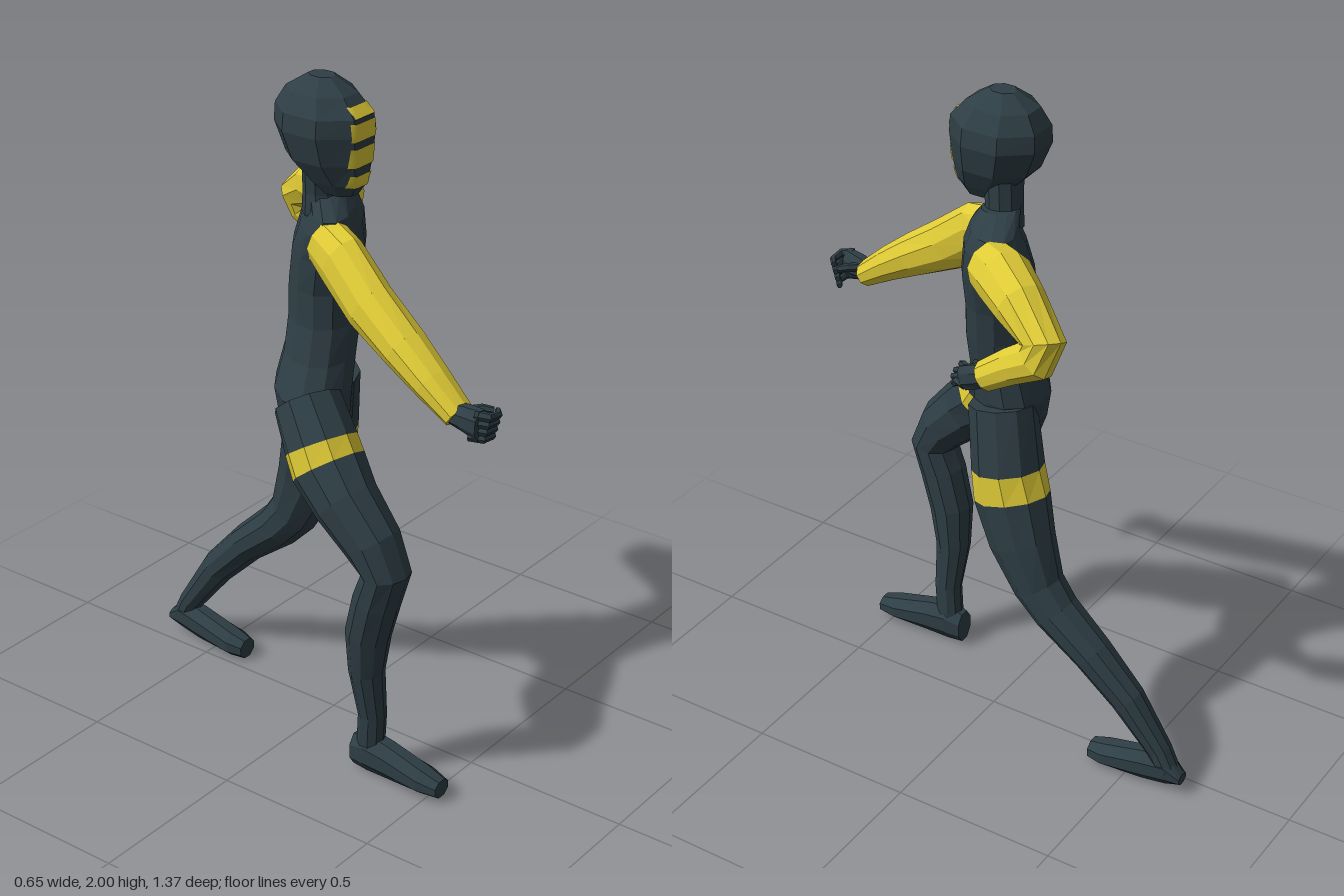
import * as THREE from 'three';

const V = (x, y, z) => new THREE.Vector3(x, y, z);
const X = V(1, 0, 0), Y = V(0, 1, 0), Z = V(0, 0, 1);

// Skin over sections [x, y, z, halfWidth, halfDepth]. Rings turn with the path
// unless a fixed axis is given; bands maps segment number -> material index.
function loft(name, sections, materials, { n = 10, side = X, axis = null, bands = {} } = {}) {
  const centres = sections.map(s => V(s[0], s[1], s[2]));
  const last = sections.length - 1;
  const dir = i => centres[i + 1].clone().sub(centres[i]).normalize();
  const rings = sections.map(([, , , rw, rd], i) => {
    const t = axis ? axis.clone() : V(0, 0, 0);
    if (!axis && i > 0) t.add(dir(i - 1));
    if (!axis && i < last) t.add(dir(i));
    t.normalize();
    const w = axis ? side.clone() : side.clone().addScaledVector(t, -side.dot(t)).normalize();
    const d = t.clone().cross(w).normalize();
    const k = 1 / Math.cos(Math.PI / n);
    return Array.from({ length: n }, (_, j) => {
      const a = (j + 0.5) / n * Math.PI * 2;
      return centres[i].clone().addScaledVector(w, Math.cos(a) * rw * k).addScaledVector(d, Math.sin(a) * rd * k);
    });
  });
  const points = [], geo = new THREE.BufferGeometry();
  for (let j = 0; j < n; j++) {
    const m = (j + 1) % n;
    points.push(centres[0], rings[0][m], rings[0][j], centres[last], rings[last][j], rings[last][m]);
  }
  geo.addGroup(0, points.length, 0);
  for (let i = 0; i < last; i++) {
    geo.addGroup(points.length, n * 6, bands[i] ?? 0);
    for (let j = 0; j < n; j++) {
      const m = (j + 1) % n, a = rings[i], b = rings[i + 1];
      points.push(a[j], a[m], b[m], a[j], b[m], b[j]);
    }
  }
  geo.setFromPoints(points);
  geo.computeVertexNormals();
  const mesh = new THREE.Mesh(geo, materials);
  mesh.name = name;
  return mesh;
}

export function createModel() {
  const suit = new THREE.MeshStandardMaterial({ color: 0x2e3e45 });
  suit.name = 'darkSuit';
  const yellow = new THREE.MeshStandardMaterial({ color: 0xdfcb36 });
  yellow.name = 'yellow';
  const mats = [suit, yellow], sleeve = [yellow];
  const model = new THREE.Group();
  model.name = 'lungingFigure';
  const add = (...args) => model.add(loft(...args));

  // Torso, turned so the left shoulder is drawn back and raised
  const turn = 0.6;
  add('torso', [
    [-0.06, 0.95, -0.03, 0.05, 0.07],
    [-0.06, 1.02, -0.02, 0.125, 0.1],
    [-0.065, 1.1, -0.02, 0.155, 0.108],
    [-0.04, 1.2, -0.015, 0.125, 0.1],
    [-0.02, 1.3, -0.015, 0.115, 0.1],
    [-0.01, 1.4, -0.02, 0.122, 0.1],
    [0.0, 1.5, -0.015, 0.145, 0.1],
    [0.0, 1.58, -0.005, 0.17, 0.085],
    [-0.005, 1.63, 0, 0.15, 0.065],
    [-0.035, 1.67, 0, 0.06, 0.052],
  ], mats, { axis: Y, side: V(Math.cos(turn), 0.12, -Math.sin(turn)), n: 12 });

  add('neck', [
    [-0.045, 1.61, 0, 0.06, 0.055],
    [-0.052, 1.67, 0, 0.05, 0.05],
    [-0.06, 1.77, 0.005, 0.055, 0.05],
  ], mats);

  // Hooded head
  const headSections = [
    [-0.07, 1.685, 0.075, 0.04, 0.05],
    [-0.07, 1.72, 0.064, 0.062, 0.084],
    [-0.07, 1.78, 0.036, 0.094, 0.116],
    [-0.07, 1.86, 0.023, 0.112, 0.135],
    [-0.07, 1.91, 0.0225, 0.106, 0.1325],
    [-0.07, 1.96, 0.015, 0.078, 0.097],
    [-0.07, 2.0, 0.015, 0.03, 0.037],
  ];
  add('head', headSections, mats, { axis: Y, n: 8 });

  // Face stripes, wrapped over the front facets of the head
  const headAt = y => {
    const i = Math.max(0, headSections.findIndex(s => s[1] > y) - 1);
    const a = headSections[i], b = headSections[i + 1], f = (y - a[1]) / (b[1] - a[1]);
    return a.map((v, k) => THREE.MathUtils.lerp(v, b[k], f));
  };
  [[1.715, 1.752, 0.044], [1.775, 1.83, 0.052], [1.85, 1.9, 0.053], [1.912, 1.94, 0.042]].forEach(([y0, y1, half]) => {
    const geo = new THREE.PlaneGeometry(2 * half, y1 - y0, 8, 4);
    const p = geo.attributes.position;
    for (let i = 0; i < p.count; i++) {
      const x = p.getX(i), y = p.getY(i) + (y0 + y1) / 2, [cx, , cz, rw, rd] = headAt(y);
      p.setXYZ(i, cx + x, y, cz + rd * Math.min(1, Math.SQRT2 - Math.abs(x) / rw) + 0.005);
    }
    geo.computeVertexNormals();
    const stripe = new THREE.Mesh(geo, yellow);
    stripe.name = 'faceStripe';
    model.add(stripe);
  });

  // Legs with a yellow thigh band
  add('rightLeg', [
    [-0.17, 1.09, 0.04, 0.095, 0.09],
    [-0.205, 0.995, 0.115, 0.1, 0.1],
    [-0.212, 0.94, 0.145, 0.1, 0.105],
    [-0.235, 0.865, 0.225, 0.088, 0.093],
    [-0.24, 0.77, 0.32, 0.078, 0.08],
    [-0.24, 0.69, 0.365, 0.07, 0.066],
    [-0.24, 0.6, 0.335, 0.067, 0.065],
    [-0.235, 0.48, 0.302, 0.062, 0.063],
    [-0.225, 0.35, 0.29, 0.05, 0.05],
    [-0.21, 0.2, 0.3, 0.038, 0.04],
    [-0.205, 0.07, 0.29, 0.036, 0.04],
  ], mats, { bands: { 1: 1 } });
  add('leftLeg', [
    [0.025, 1.1, -0.045, 0.085, 0.095],
    [0.05, 0.912, -0.08, 0.098, 0.1],
    [0.06, 0.828, -0.1, 0.092, 0.11],
    [0.075, 0.7, -0.145, 0.08, 0.098],
    [0.08, 0.57, -0.205, 0.067, 0.075],
    [0.08, 0.5, -0.265, 0.064, 0.066],
    [0.078, 0.4, -0.385, 0.058, 0.056],
    [0.07, 0.28, -0.5, 0.048, 0.05],
    [0.06, 0.13, -0.605, 0.036, 0.036],
    [0.06, 0.07, -0.635, 0.034, 0.034],
  ], mats, { bands: { 1: 1 } });

  // Feet
  add('rightFoot', [
    [-0.205, 0.065, 0.24, 0.034, 0.05],
    [-0.205, 0.072, 0.29, 0.042, 0.06],
    [-0.205, 0.066, 0.36, 0.042, 0.054],
    [-0.205, 0.05, 0.48, 0.045, 0.037],
    [-0.205, 0.042, 0.54, 0.032, 0.026],
  ], mats, { axis: Z, n: 8 });
  add('leftFoot', [
    [0.06, 0.055, -0.683, 0.022, 0.016],
    [0.06, 0.075, -0.635, 0.036, 0.048],
    [0.058, 0.064, -0.56, 0.04, 0.05],
    [0.055, 0.043, -0.43, 0.045, 0.038],
    [0.055, 0.037, -0.38, 0.032, 0.03],
  ], mats, { axis: Z, n: 8 });

  // Sleeved arms
  add('rightArm', [
    [-0.105, 1.55, 0.055, 0.055, 0.07],
    [-0.135, 1.52, 0.13, 0.055, 0.08],
    [-0.165, 1.43, 0.25, 0.06, 0.075],
    [-0.185, 1.35, 0.38, 0.062, 0.062],
    [-0.2, 1.285, 0.48, 0.055, 0.05],
    [-0.208, 1.22, 0.572, 0.045, 0.037],
  ], sleeve);
  add('leftArm', [
    [0.115, 1.58, -0.065, 0.068, 0.07],
    [0.155, 1.58, -0.13, 0.076, 0.078],
    [0.215, 1.555, -0.22, 0.068, 0.07],
    [0.263, 1.492, -0.32, 0.055, 0.062],
    [0.272, 1.445, -0.305, 0.05, 0.06],
    [0.268, 1.4, -0.23, 0.046, 0.05],
    [0.265, 1.34, -0.145, 0.042, 0.042],
  ], sleeve, { side: V(0.8, 0.4, 0.3).normalize() });

  // Hands: palm plus tapered fingers, each a short path
  function hand(name, palm, palmSide, fingers) {
    const group = new THREE.Group();
    group.name = name;
    group.add(loft('palm', palm, mats, { n: 8, side: palmSide }));
    for (const path of fingers) {
      const sections = path.map((p, i) => [...p, 0.013 - i * 0.002, 0.013 - i * 0.002]);
      group.add(loft('finger', sections, mats, { n: 6, side: Y }));
    }
    model.add(group);
  }
  // Right hand: fingers curled inwards
  const curled = [0, 1, 2, 3].map(i => {
    const y = 1.253 - i * 0.022, z = -i * 0.006;
    return [[-0.235, y, 0.64 + z], [-0.222, y - 0.004, 0.677 + z], [-0.185, y - 0.008, 0.68 + z], [-0.16, y - 0.01, 0.66 + z]];
  });
  hand('rightHand', [
    [-0.208, 1.222, 0.55, 0.03, 0.028],
    [-0.218, 1.225, 0.6, 0.03, 0.036],
    [-0.228, 1.222, 0.655, 0.024, 0.044],
  ], X, [...curled, [[-0.205, 1.235, 0.59], [-0.172, 1.24, 0.62], [-0.155, 1.235, 0.645]]]);
  // Left hand: fingers open
  const spread = [[0.19, 1.25, 0.008], [0.18, 1.265, 0.006], [0.165, 1.28, -0.002], [0.205, 1.24, -0.005]].map(([x, y, z]) => {
    const knuckle = [0.228 + (x - 0.185) * 0.5, 1.285 + (y - 1.26) * 0.7, -0.06];
    return [knuckle, [(knuckle[0] + x) / 2, (knuckle[1] + y) / 2 + 0.008, -0.025], [x, y, z]];
  });
  hand('leftHand', [
    [0.263, 1.345, -0.155, 0.028, 0.028],
    [0.25, 1.32, -0.11, 0.034, 0.026],
    [0.228, 1.285, -0.052, 0.034, 0.02],
  ], Y, [...spread, [[0.243, 1.32, -0.1], [0.195, 1.31, -0.065], [0.16, 1.295, -0.045]]]);

  return model;
}
